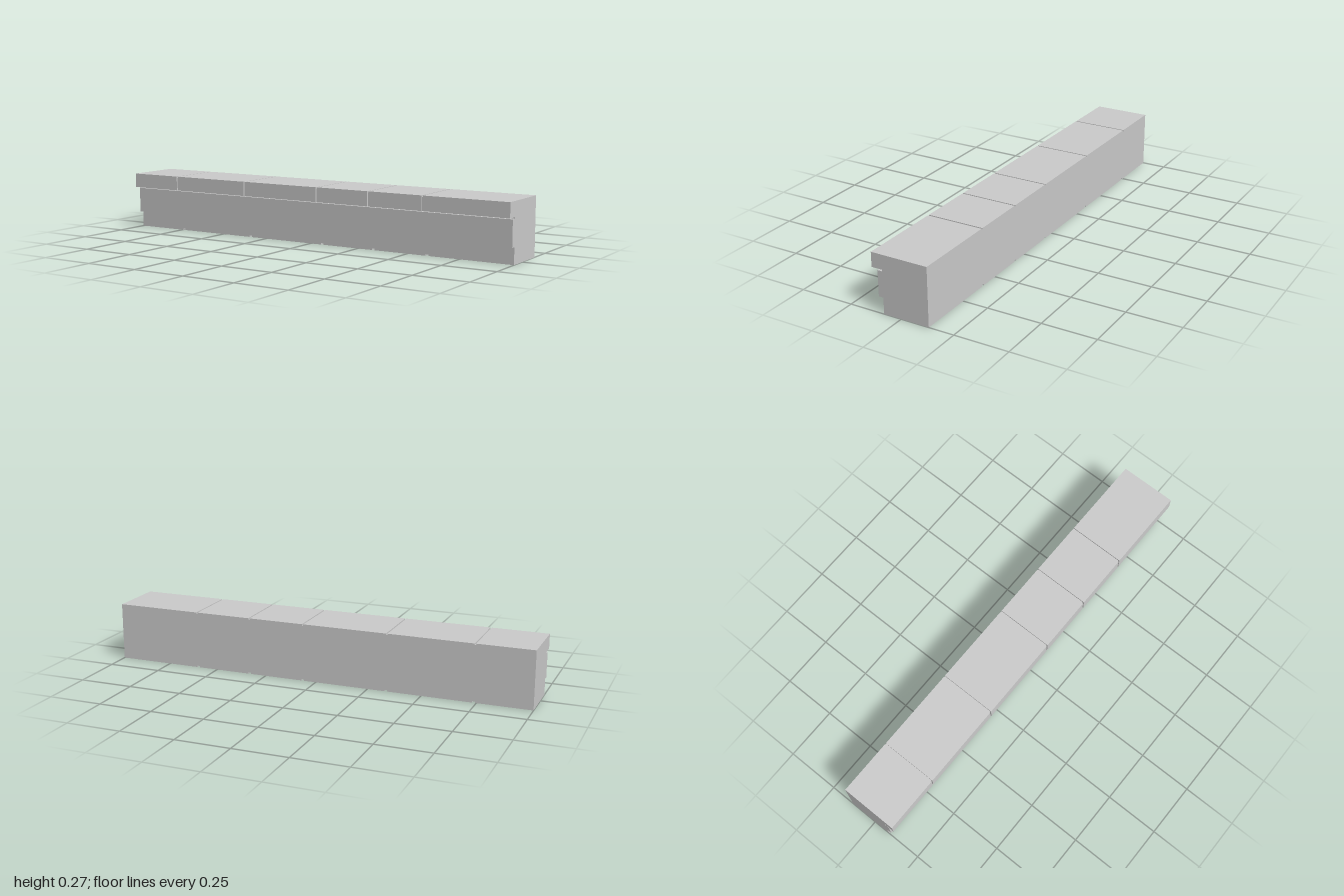
import * as THREE from 'three';

const BACK = -0.133, FACE = 0.083, BAND = 0.105, LIP = 0.133, TOP = 0.267;
const GROOVE = 0.0067; // depth of the joints
const JOINTS = [-0.737, -0.337, 0.063, 0.33, 0.597];

export function createModel() {
  const group = new THREE.Group();
  const material = new THREE.MeshStandardMaterial({ color: 0xcccccc, flatShading: true });

  // Extrudes a (z, y) profile along x from x0 to x1
  function run(name, profile, x0, x1) {
    const shape = new THREE.Shape(profile.map(([z, y]) => new THREE.Vector2(z, y)));
    const geometry = new THREE.ExtrudeGeometry(shape, { depth: x1 - x0, bevelEnabled: false });
    geometry.rotateY(-Math.PI / 2).translate(x1, 0, 0);
    const mesh = new THREE.Mesh(geometry, material);
    mesh.name = name;
    group.add(mesh);
  }

  // Continuous core with raised front band and the recessed backing of the cap
  run('core', [
    [BACK, GROOVE], [FACE, GROOVE], [FACE, 0.075], [BAND, 0.075], [BAND, 0.193],
    [FACE, 0.193], [FACE, 0.2], [LIP - GROOVE, 0.2], [LIP - GROOVE, TOP - GROOVE], [BACK, TOP - GROOVE],
  ], -1, 1);

  // Separate cap stones and base pads, split at the joints
  const ends = [-1, ...JOINTS, 1];
  for (let i = 0; i < ends.length - 1; i++) {
    const gap = (width, inner) => (inner ? width / 2 : 0);
    const first = i > 0, last = i < ends.length - 2;
    run('capStone', [
      [BACK, TOP - GROOVE], [LIP - GROOVE, TOP - GROOVE], [LIP - GROOVE, 0.2],
      [LIP, 0.2], [LIP, TOP], [BACK, TOP],
    ], ends[i] + gap(0.0067, first), ends[i + 1] - gap(0.0067, last));
    run('basePad', [[BACK, 0], [FACE, 0], [FACE, GROOVE], [BACK, GROOVE]],
      ends[i] + gap(0.0133, first), ends[i + 1] - gap(0.0133, last));
  }
  return group;
}
